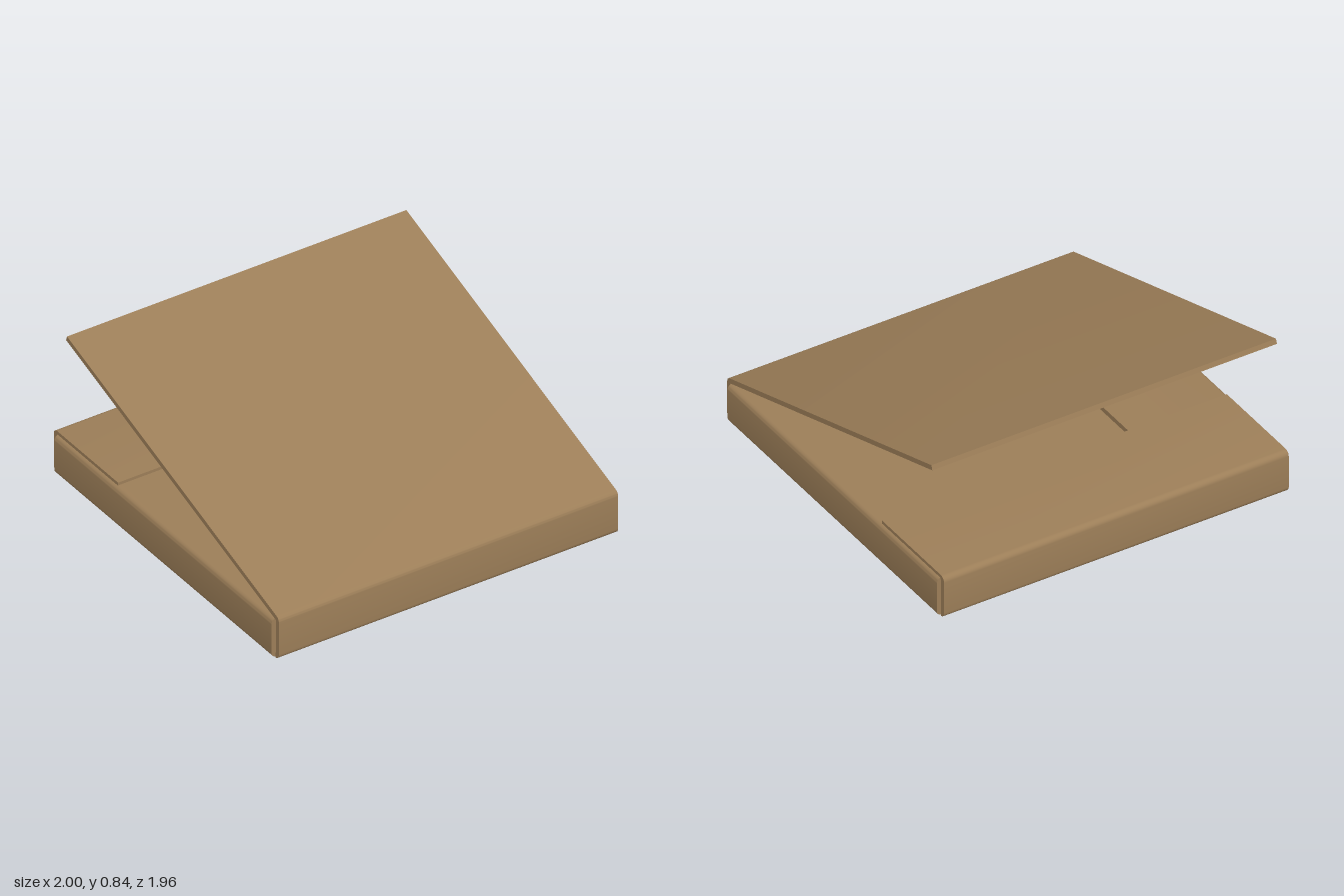
import * as THREE from 'three';
import { toCreasedNormals } from 'three/addons/utils/BufferGeometryUtils.js';

const T = 0.027;   // board thickness
const R = 0.0165;  // centre-line radius of a fold

// Replace each inner corner of a path with an arc, keeping the direction at every point
function foldedPath(corners) {
  const pts = corners.map(([x, y]) => new THREE.Vector2(x, y));
  const dirs = pts.slice(1).map((p, i) => p.clone().sub(pts[i]).normalize());
  const out = [{ p: pts[0], a: dirs[0].angle() }];
  for (let i = 1; i < pts.length - 1; i++) {
    const a0 = dirs[i - 1].angle();
    const turn = Math.acos(dirs[i - 1].dot(dirs[i])); // every fold turns left
    const start = pts[i].clone().addScaledVector(dirs[i - 1], -R * Math.tan(turn / 2));
    const c = start.add(new THREE.Vector2(-Math.sin(a0), Math.cos(a0)).multiplyScalar(R));
    for (let k = 0; k <= 6; k++) {
      const a = a0 + (turn * k) / 6;
      out.push({ p: new THREE.Vector2(c.x + R * Math.sin(a), c.y - R * Math.cos(a)), a });
    }
  }
  out.push({ p: pts[pts.length - 1], a: dirs[dirs.length - 1].angle() });
  return out;
}

// A folded sheet of board, extruded along its fold lines
function foldedBoard(corners, width) {
  const path = foldedPath(corners);
  const side = (s) => path.map(({ p, a }) =>
    new THREE.Vector2(p.x - Math.sin(a) * s, p.y + Math.cos(a) * s));
  const shape = new THREE.Shape([...side(-T / 2), ...side(T / 2).reverse()]);
  const geo = new THREE.ExtrudeGeometry(shape, { depth: width, bevelEnabled: false, steps: 1 });
  geo.translate(0, 0, -width / 2);
  return toCreasedNormals(geo, 0.6);
}

export function createModel() {
  const group = new THREE.Group();
  const cardboard = new THREE.MeshStandardMaterial({ color: 0x9c7e58 });
  cardboard.name = 'cardboard';

  const add = (name, geo, turnY = 0) => {
    const mesh = new THREE.Mesh(geo, cardboard);
    mesh.name = name;
    mesh.rotation.y = turnY;
    group.add(mesh);
  };

  // Bottom panel
  const base = new THREE.BoxGeometry(1.94, T, 1.9);
  base.translate(0, T / 2, 0);
  add('bottomPanel', base);

  // Front wall running up into the half-open lid
  add('frontWallAndLid', foldedBoard(
    [[0.95, T / 2], [0.9665, T / 2], [0.9665, 0.229], [-0.869, 0.826]], 1.96), -Math.PI / 2);

  // Back wall with its short top flap
  add('backWallAndFlap', foldedBoard(
    [[0.95, T / 2], [0.9665, T / 2], [0.9665, 0.2265], [0.42, 0.2265]], 1.96), Math.PI / 2);

  // Side walls with flaps folded inwards, leaving the middle open
  const sideGeo = foldedBoard(
    [[0.97, T / 2], [0.9865, T / 2], [0.9865, 0.2105], [0.43, 0.2105]], 1.89);
  add('leftWallAndFlap', sideGeo);
  add('rightWallAndFlap', sideGeo, Math.PI);

  return group;
}
